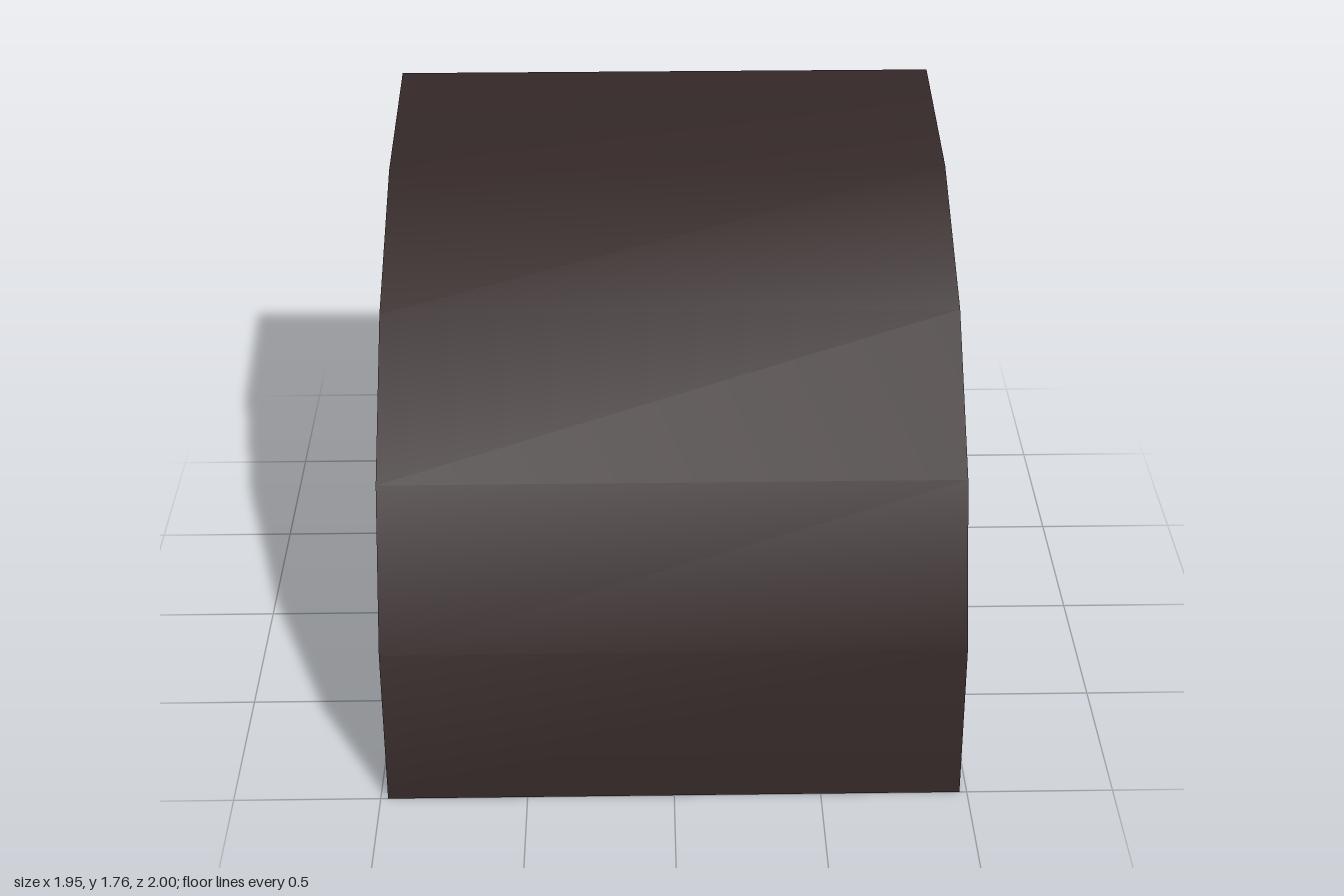
import * as THREE from 'three';

const HALF_WIDTH = 0.975;
// Curved front outline as [z, y], from the bottom front edge to the top back edge
const PROFILE = [[1, 0], [0.9, 0.55], [0.62, 1.04], [0.18, 1.43], [-0.38, 1.68], [-1, 1.76]];

export function createModel() {
  const group = new THREE.Group();
  group.name = 'hood';
  const darkBrown = new THREE.MeshStandardMaterial({ color: 0x332727, side: THREE.DoubleSide });
  darkBrown.name = 'darkBrown';

  const add = (name, geometry) => {
    const mesh = new THREE.Mesh(geometry, darkBrown);
    mesh.name = name;
    group.add(mesh);
  };

  // Smooth curved front: a plane whose rows follow the outline
  const rows = PROFILE.length - 1;
  const curve = new THREE.PlaneGeometry(HALF_WIDTH * 2, 1, 1, rows);
  const pos = curve.attributes.position;
  for (let i = 0; i < pos.count; i++) {
    const [z, y] = PROFILE[rows - Math.floor(i / 2)];
    pos.setXYZ(i, pos.getX(i), y, z);
  }
  curve.computeVertexNormals();
  add('curvedFront', curve);

  // Flat side walls, facing outward
  for (const side of [1, -1]) {
    const outline = [...PROFILE, [-1, 0]].map(([z, y]) => new THREE.Vector2(-side * z, y));
    const wall = new THREE.ShapeGeometry(new THREE.Shape(outline));
    wall.rotateY(side * Math.PI / 2).translate(side * HALF_WIDTH, 0, 0);
    add(side > 0 ? 'leftWall' : 'rightWall', wall);
  }

  // Floor; the back stays open
  add('floor', new THREE.PlaneGeometry(HALF_WIDTH * 2, 2).rotateX(Math.PI / 2));

  return group;
}
